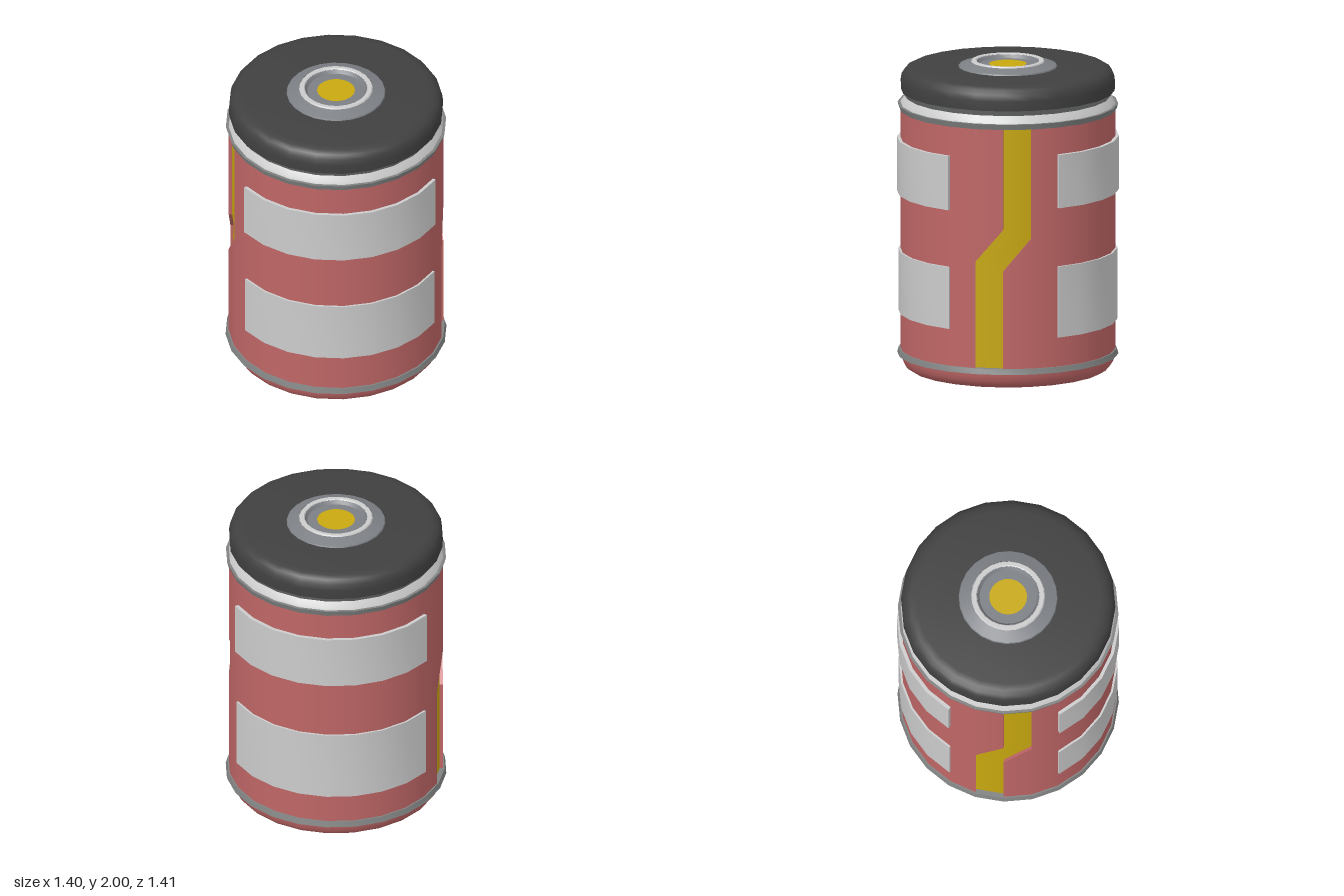
import * as THREE from 'three';
import { toCreasedNormals } from 'three/addons/utils/BufferGeometryUtils.js';

const SIDES = 24, R = 0.682, LOW = 0.13, HIGH = 1.7;
const rad = THREE.MathUtils.degToRad;

const paint = (color) => new THREE.MeshStandardMaterial({ color });

function named(name, geometry, material) {
  const mesh = new THREE.Mesh(geometry, material);
  mesh.name = name;
  return mesh;
}

// Solid of revolution from [radius, y] pairs, with sharp corners kept
function turned(profile) {
  const points = profile.map(([r, y]) => new THREE.Vector2(r, y));
  return toCreasedNormals(new THREE.LatheGeometry(points, SIDES), 0.6);
}

// Curved plate facing +z, spanning 120 degrees
function plate(radius, y0, y1) {
  const shape = new THREE.Shape();
  shape.absarc(0, 0, radius, rad(-150), rad(-30), false);
  shape.absarc(0, 0, 0.65, rad(-30), rad(-150), true);
  const geo = new THREE.ExtrudeGeometry(shape, { depth: y1 - y0, bevelEnabled: false, curveSegments: 4 });
  geo.rotateX(-Math.PI / 2);
  geo.translate(0, y0, 0);
  return toCreasedNormals(geo, 0.6);
}

// Strip of quads between two edges; radial normals blend it with the round wall
function strip(left, right, radial) {
  const pos = [];
  for (let i = 0; i < left.length - 1; i++) {
    const a = left[i], b = right[i], c = right[i + 1], d = left[i + 1];
    for (const p of [a, b, c, a, c, d]) pos.push(p.x, p.y, p.z);
  }
  const geo = new THREE.BufferGeometry();
  geo.setAttribute('position', new THREE.Float32BufferAttribute(pos, 3));
  geo.computeVertexNormals();
  if (radial) {
    const n = geo.attributes.normal, v = new THREE.Vector3();
    for (let i = 0; i < n.count; i++) {
      v.fromBufferAttribute(geo.attributes.position, i).setY(0).normalize();
      n.setXYZ(i, v.x, v.y, v.z);
    }
  }
  return geo;
}

// Points [z, y] laid on the two wall facets around +x, sunk by depth
const onWall = (edge, depth = 0) => edge.map(([z, y]) =>
  new THREE.Vector3(R - Math.abs(z) * Math.tan(Math.PI / SIDES) - depth, y, z));

export function createModel() {
  const model = new THREE.Group();
  const red = paint(0xbf6666), yellow = paint(0xc8a80f), light = paint(0xcccccc);
  const grey = paint(0x808282), dark = paint(0x404040), steel = paint(0x7c7f84);

  // Rounded foot and dark underside
  model.add(named('foot', turned([[0.585, 0], [0.62, 0.008], [0.65, 0.028], [0.668, 0.055], [0.676, 0.09], [R, LOW]]), red));
  const underside = named('underside', new THREE.CircleGeometry(0.585, SIDES), paint(0x35383a));
  underside.rotation.x = Math.PI / 2;
  model.add(underside);

  // Each half: round wall, sunken stepped stripe and two plates
  const f = R * Math.sin(2 * Math.PI / SIDES);
  const front = [[f, LOW], [f, 0.83], [0, 1.04], [0, HIGH]];
  const back = [[0, LOW], [0, 0.77], [-f, 0.98], [-f, HIGH]];
  const sector = (z, edge) => edge.map(([, y]) => [z, y]);
  const sink = 0.022;
  const halves = [
    { name: 'frontHalf', turn: 0, plates: [[0.703, 1.15, 1.5], [0.695, 0.38, 0.78]] },
    { name: 'backHalf', turn: Math.PI, plates: [[0.705, 1.17, 1.515], [0.695, 0.33, 0.79]] },
  ];
  for (const { name, turn, plates } of halves) {
    const half = new THREE.Group();
    half.name = name;
    half.rotation.y = turn;
    const wall = new THREE.CylinderGeometry(R, R, HIGH - LOW, 10, 1, true, rad(-75), rad(150));
    wall.translate(0, (HIGH + LOW) / 2, 0);
    half.add(
      named('wall', wall, red),
      named('wallBesideStripe', strip(onWall(sector(f, front)), onWall(front), true), red),
      named('wallBesideStripe', strip(onWall(back), onWall(sector(-f, back)), true), red),
      named('stripe', strip(onWall(front, sink), onWall(back, sink), true), yellow),
      named('grooveSide', strip(onWall(front), onWall(front, sink)), red),
      named('grooveSide', strip(onWall(back, sink), onWall(back)), red),
    );
    for (const [r, y0, y1] of plates) half.add(named('plate', plate(r, y0, y1), light));
    model.add(half);
  }

  // Rims and neck
  model.add(
    named('lowerRim', turned([[0.6, 0.105], [0.702, 0.105], [0.692, 0.14], [0.6, 0.14]]), grey),
    named('upperRim', turned([[0.6, 1.69], [0.69, 1.69], [0.7, 1.725], [0.6, 1.725]]), grey),
    named('neck', turned([[0.682, 1.725], [0.675, 1.74], [0.648, 1.775]]), light),
    named('collar', turned([[0.6, 1.773], [0.652, 1.773], [0.675, 1.81], [0.6, 1.81]]), grey),
  );

  // Rounded lid
  model.add(named('lid', turned([[0.6, 1.808], [0.678, 1.808], [0.68, 1.87], [0.674, 1.91],
    [0.655, 1.938], [0.625, 1.954], [0.585, 1.96], [0, 1.96]]), dark));

  // Button: sloped base, light ring, sunken well and yellow centre
  model.add(
    named('buttonBase', turned([[0.315, 1.958], [0.31, 1.968], [0.235, 1.993]]), steel),
    named('buttonRing', turned([[0.235, 1.99], [0.228, 2], [0.205, 2], [0.198, 1.994]]), light),
    named('buttonWell', turned([[0.2, 1.996], [0.182, 1.972], [0, 1.972]]), steel),
  );
  const centre = named('buttonCentre', new THREE.CircleGeometry(0.12, SIDES), yellow);
  centre.rotation.x = -Math.PI / 2;
  centre.position.y = 1.976;
  model.add(centre);

  return model;
}
